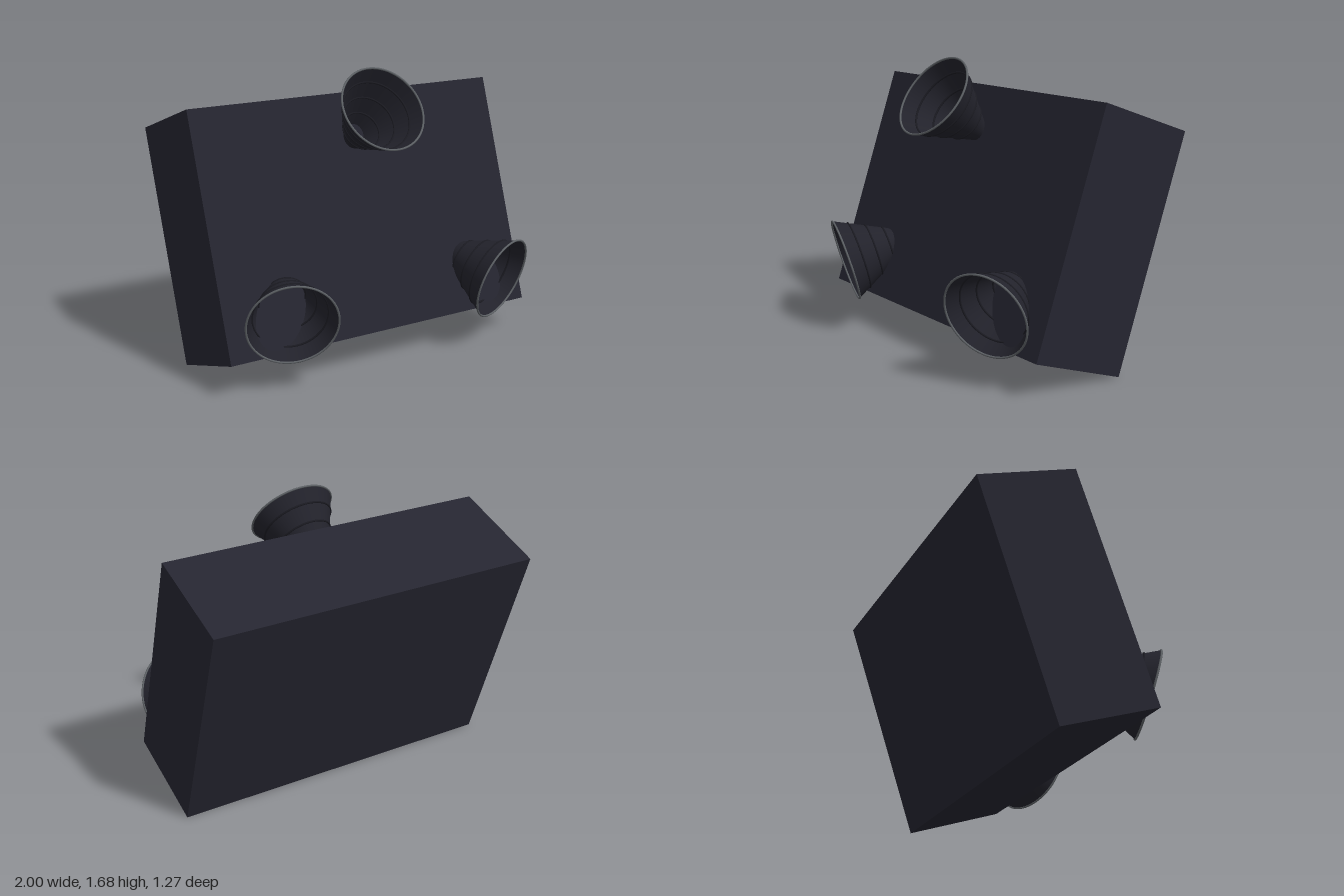
import * as THREE from 'three';

export function createModel() {
  const model = new THREE.Group();
  const shell = new THREE.MeshStandardMaterial({ color: 0x252530 });
  shell.name = 'charcoal shell';
  const hornMat = new THREE.MeshStandardMaterial({ color: 0x22222b, side: THREE.DoubleSide });
  hornMat.name = 'dark horn';
  const ridgeMat = new THREE.MeshStandardMaterial({ color: 0x1a1a21 });
  ridgeMat.name = 'black ridge';
  const rimMat = new THREE.MeshStandardMaterial({ color: 0x5c6064 });
  rimMat.name = 'grey rim';

  // Block leaning backwards, standing on its rear lower edge
  const body = new THREE.Mesh(new THREE.BoxGeometry(2, 1.385, 0.615), shell);
  body.name = 'body';
  body.rotation.x = -0.331;
  body.position.set(0, 0.755, -0.115);
  model.add(body);

  const R = 0.251, APEX = 0.505, LENGTH = 0.45;
  const radiusAt = (back) => R * (1 - back / APEX);

  const addRing = (parent, name, radius, tube, back, material) => {
    const ring = new THREE.Mesh(new THREE.TorusGeometry(radius, tube, 8, 64), material);
    ring.name = name;
    ring.position.z = -back;
    parent.add(ring);
  };

  // Open horn whose mouth is centred on the group origin and faces +z
  function addHorn(name, mouth, direction) {
    const horn = new THREE.Group();
    horn.name = name;
    const geometry = new THREE.CylinderGeometry(R, radiusAt(LENGTH), LENGTH, 64, 1, true);
    geometry.rotateX(Math.PI / 2).translate(0, 0, -LENGTH / 2);
    const cone = new THREE.Mesh(geometry, hornMat);
    cone.name = 'hornCone';
    horn.add(cone);
    addRing(horn, 'hornRim', R, 0.006, 0, rimMat);
    for (const back of [0.085, 0.18, 0.275]) {
      addRing(horn, 'hornRidge', radiusAt(back), 0.006, back, ridgeMat);
    }
    horn.position.set(...mouth);
    horn.quaternion.setFromUnitVectors(
      new THREE.Vector3(0, 0, 1), new THREE.Vector3(...direction).normalize());
    model.add(horn);
  }

  addHorn('topHorn', [0, 1.475, 0.338], [0, 0.59, 0.807]);
  addHorn('lowerRightHorn', [-0.692, 0.41, 0.525], [-0.34, -0.28, 0.9]);
  addHorn('lowerLeftHorn', [0.73, 0.41, 0.525], [0.34, -0.28, 0.9]);

  return model;
}
